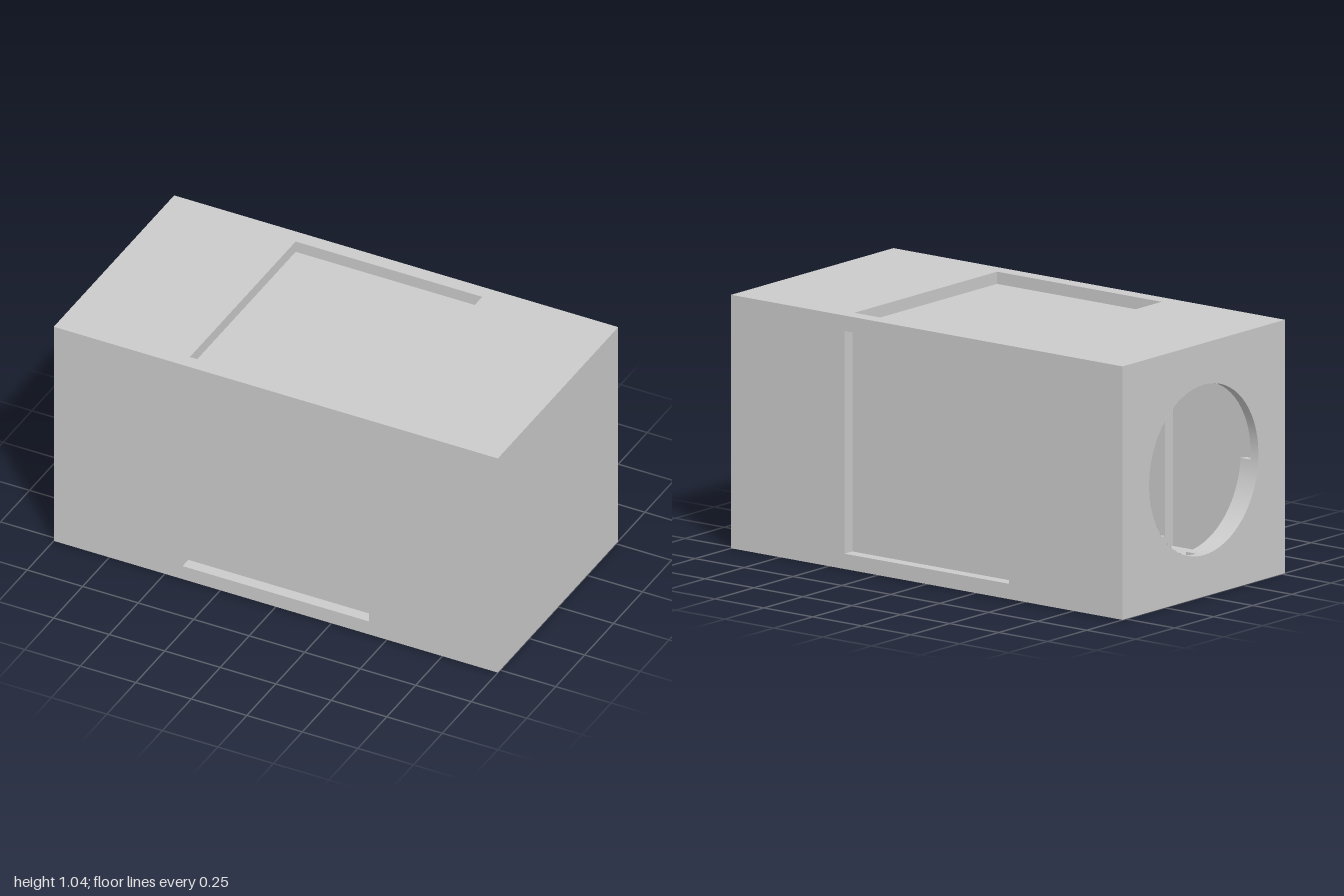
import * as THREE from 'three';

const L = 2, H = 1.04, HALF = H / 2;          // block length and square section
const WALL = 0.04, DEPTH = 0.05;              // shell thickness, panel recess
const WIN_W = 0.84, WIN_H = 0.914, HOLE_R = 0.35;

const mat = new THREE.MeshStandardMaterial({ color: 0xcccccc, flatShading: true, side: THREE.DoubleSide });
const smooth = new THREE.MeshStandardMaterial({ color: 0xcccccc, side: THREE.DoubleSide });

function add(parent, name, geo, material = mat) {
  const m = new THREE.Mesh(geo, material);
  m.name = name;
  parent.add(m);
  return m;
}

function rect(w, h) {
  return new THREE.Shape([[-1, -1], [1, -1], [1, 1], [-1, 1]]
    .map(([x, y]) => new THREE.Vector2(x * w / 2, y * h / 2)));
}

// Square plate with the round opening, facing +z
function holedSquare(size) {
  const s = rect(size, size);
  s.holes.push(new THREE.Path().absarc(0, 0, HOLE_R, 0, Math.PI * 2, true));
  return new THREE.ShapeGeometry(s, 64);
}

// One long side: face with window, recess rim and sunken panel
function sidePanel() {
  const g = new THREE.Group();
  const face = rect(L, H);
  face.holes.push(rect(WIN_W, WIN_H));
  add(g, 'sideFace', new THREE.ShapeGeometry(face)).position.z = HALF;

  const rim = new THREE.CylinderGeometry(Math.SQRT1_2, Math.SQRT1_2, DEPTH, 4, 1, true);
  rim.rotateY(Math.PI / 4).rotateX(Math.PI / 2).scale(WIN_W, WIN_H, 1);
  add(g, 'recessRim', rim).position.z = HALF - DEPTH / 2;

  add(g, 'recessedPanel', new THREE.PlaneGeometry(WIN_W, WIN_H)).position.z = HALF - DEPTH;
  return g;
}

export function createModel() {
  const model = new THREE.Group();
  model.name = 'hollowBlock';
  const body = new THREE.Group();
  body.name = 'body';
  body.position.y = HALF;
  model.add(body);

  // Four identical long sides around the x axis
  ['front', 'bottom', 'back', 'top'].forEach((name, i) => {
    const side = sidePanel();
    side.name = name + 'Side';
    side.rotation.x = i * Math.PI / 2;
    body.add(side);
  });

  // Closed end and open end
  const closed = add(body, 'closedEnd', new THREE.PlaneGeometry(H, H));
  closed.position.x = L / 2;
  closed.rotation.y = Math.PI / 2;

  const open = add(body, 'openEnd', holedSquare(H));
  open.position.x = -L / 2;
  open.rotation.y = -Math.PI / 2;

  const inner = add(body, 'openEndInside', holedSquare(H - 2 * WALL));
  inner.position.x = -L / 2 + WALL;
  inner.rotation.y = Math.PI / 2;

  const bore = new THREE.CylinderGeometry(HOLE_R, HOLE_R, WALL, 64, 1, true).rotateZ(Math.PI / 2);
  add(body, 'openingWall', bore, smooth).position.x = -L / 2 + WALL / 2;

  // Square cavity, narrower where the panels are sunk in
  const wide = HALF - WALL, narrow = wide - DEPTH;
  const end = L / 2 - WALL, step = WIN_W / 2 + WALL;
  const profile = [[wide, -end], [wide, -step], [narrow, -step], [narrow, step], [wide, step], [wide, end], [0, end]]
    .map(([h, x]) => new THREE.Vector2(h * Math.SQRT2, x));
  const cavity = new THREE.LatheGeometry(profile, 4).rotateY(Math.PI / 4).rotateZ(-Math.PI / 2);
  add(body, 'cavity', cavity);

  // Two quarter-ring locking ridges behind the opening
  const ridge = new THREE.Shape();
  ridge.absarc(0, 0, HOLE_R + 0.035, -Math.PI / 2, -0.08, false);
  ridge.absarc(0, 0, HOLE_R, -0.08, -Math.PI / 2, true);
  const ridgeGeo = new THREE.ExtrudeGeometry(ridge, { depth: 0.05, bevelEnabled: false, curveSegments: 20 });
  for (const turn of [0, Math.PI]) {
    const geo = ridgeGeo.clone().rotateZ(turn).rotateY(-Math.PI / 2);
    add(body, 'lockingRidge', geo).position.x = -L / 2 + WALL + 0.05;
  }
  return model;
}
